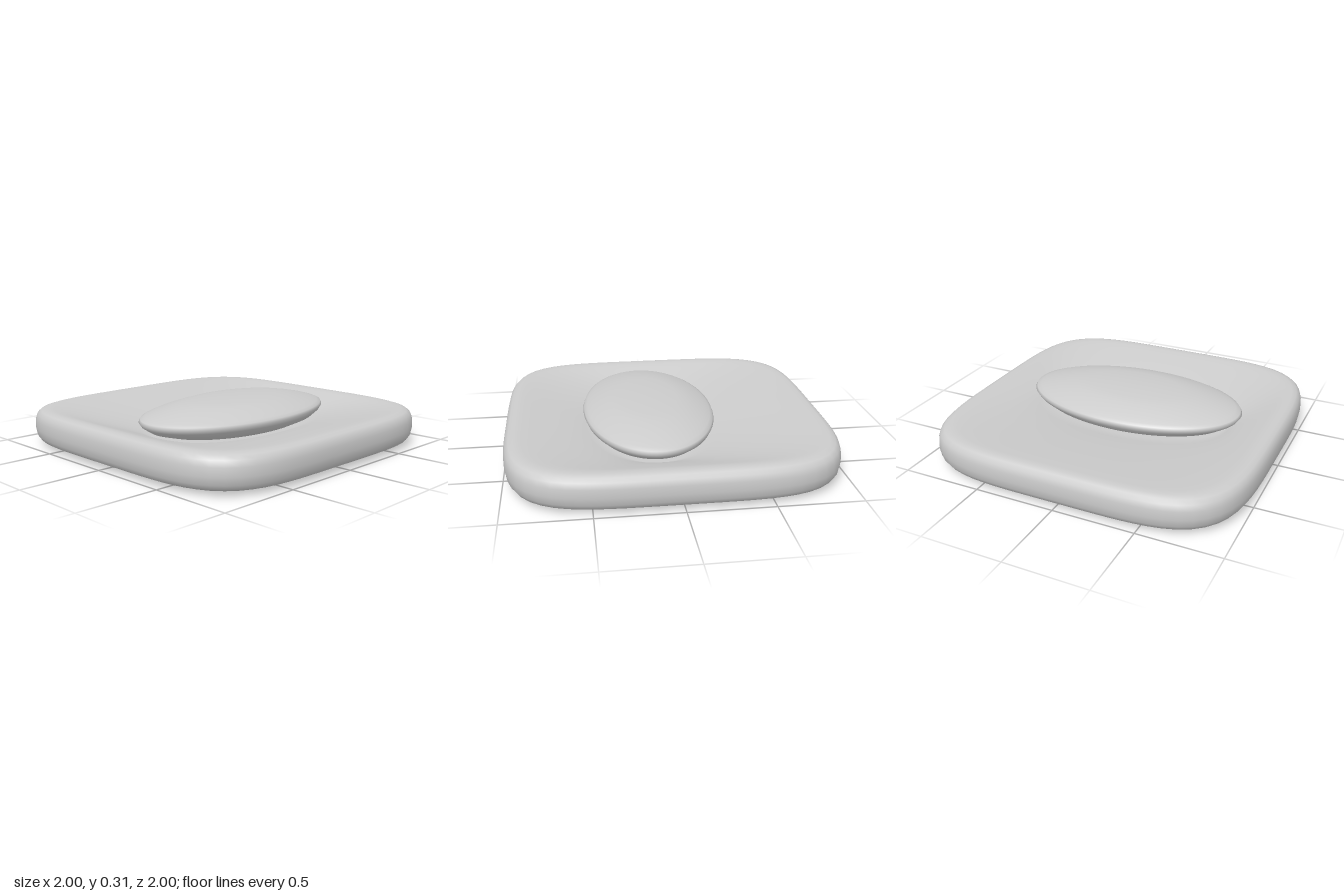
import * as THREE from 'three';

const SEGMENTS = 96;

// Skin a stack of superellipse rings [halfX, halfZ, centreX, power, y]; both ends are capped
function loft(rings) {
  const positions = [], index = [];
  for (const [halfX, halfZ, centreX, power, y] of rings) {
    for (let i = 0; i < SEGMENTS; i++) {
      const a = (i / SEGMENTS) * Math.PI * 2;
      const s = Math.sin(a), c = Math.cos(a);
      const k = (Math.abs(s) ** power + Math.abs(c) ** power) ** (-1 / power);
      positions.push(centreX + s * k * halfX, y, c * k * halfZ);
    }
  }
  const last = rings.length - 1, bottom = rings.length * SEGMENTS;
  for (const ring of [rings[0], rings[last]]) positions.push(ring[2], ring[4], 0);
  for (let i = 0; i < SEGMENTS; i++) {
    const j = (i + 1) % SEGMENTS;
    for (let r = 0; r < last; r++) {
      const p = r * SEGMENTS, q = p + SEGMENTS;
      index.push(p + i, p + j, q + i, p + j, q + j, q + i);
    }
    index.push(bottom, j, i);
    index.push(bottom + 1, last * SEGMENTS + i, last * SEGMENTS + j);
  }
  const geo = new THREE.BufferGeometry();
  geo.setAttribute('position', new THREE.Float32BufferAttribute(positions, 3));
  geo.setIndex(index);
  geo.computeVertexNormals();
  return geo;
}

export function createModel() {
  const group = new THREE.Group();
  const material = new THREE.MeshStandardMaterial({ color: 0xcccccc, roughness: 0.8 });

  const add = (name, rings) => {
    const mesh = new THREE.Mesh(loft(rings), material);
    mesh.name = name;
    group.add(mesh);
  };

  // Dish shell: nearly flat base, rounded wall and rim
  const shell = [
    [0.3, 0], [0.6, 0.003], [0.88, 0.01], [0.94, 0.018], [0.975, 0.035], [0.993, 0.065],
    [1, 0.11], [0.998, 0.16], [0.988, 0.195], [0.968, 0.216], [0.94, 0.225],
  ].map(([r, y]) => [r, r, 0, 4.5, y]);

  // Hollow: blends from the square rim (t = 0) down to an oval seat under the bar (t = 1)
  const mix = THREE.MathUtils.lerp;
  const hollow = [
    [0, 0.223], [0.12, 0.215], [0.3, 0.2], [0.5, 0.182], [0.7, 0.162], [0.87, 0.14], [1, 0.12],
  ].map(([t, y]) => [mix(0.9, 0.34, t), mix(0.9, 0.62, t), 0.1 * t, mix(4.5, 2, t), y]);

  add('dish', [...shell, ...hollow]);

  // Oval bar resting in the hollow, a little off centre
  add('ovalBar', [
    [0.5, 0.105], [0.75, 0.125], [0.9, 0.155], [0.975, 0.188], [1, 0.212], [0.985, 0.229],
    [0.94, 0.241], [0.86, 0.257], [0.74, 0.276], [0.6, 0.294], [0.45, 0.304], [0.2, 0.31],
  ].map(([r, y]) => [0.41 * r, 0.715 * r, 0.1, 2, y]));

  return group;
}
